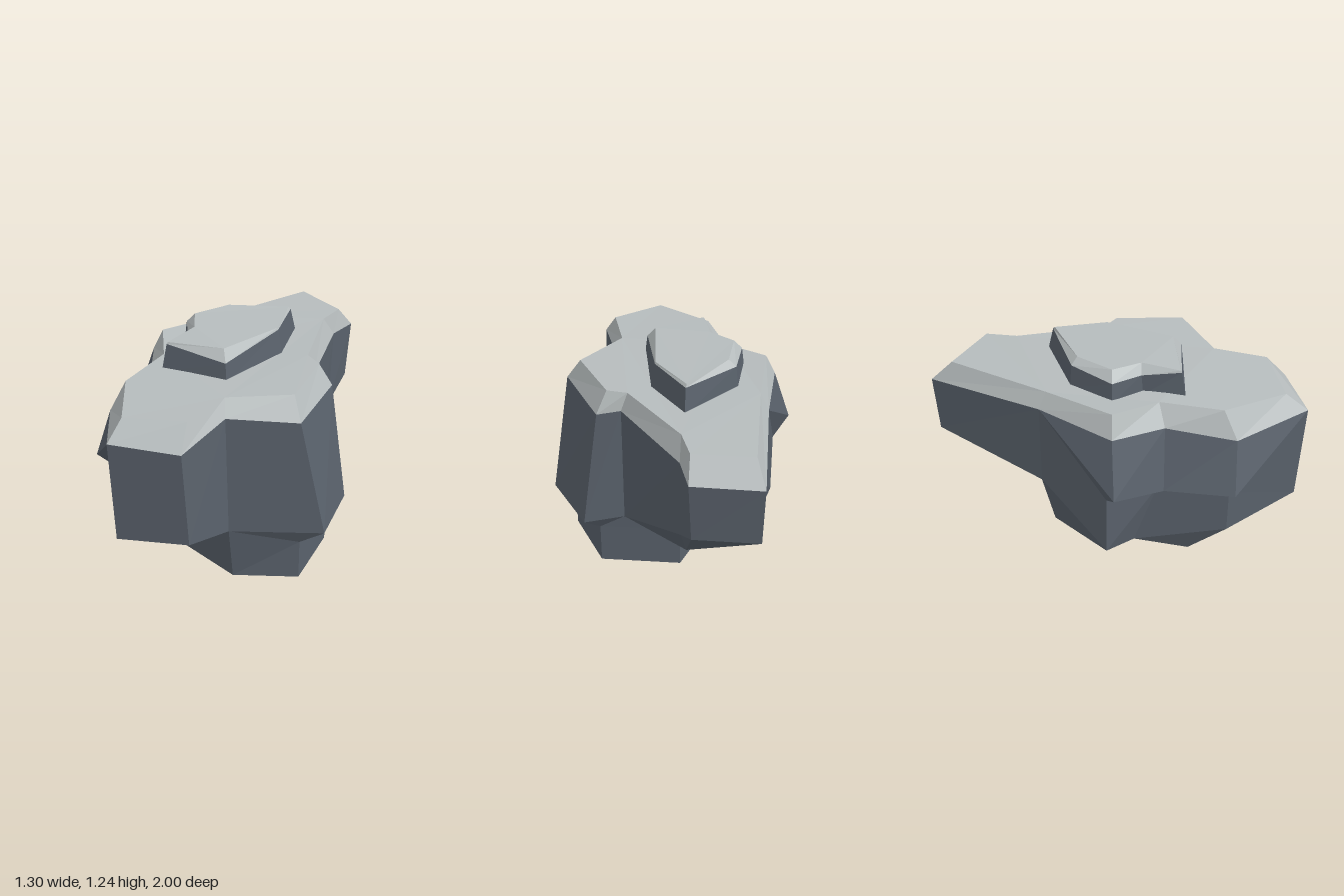
import * as THREE from 'three';

const stone = new THREE.MeshStandardMaterial({ color: 0x5a626c });
stone.name = 'darkStone';
const topStone = new THREE.MeshStandardMaterial({ color: 0xb6bcbd });
topStone.name = 'paleStone';

// Faceted mesh from a list of triangles; zero-area ones are dropped
function facetMesh(name, tris, material) {
  const pos = [];
  const t = new THREE.Triangle();
  for (const tri of tris) {
    const [a, b, c] = tri.map((p) => new THREE.Vector3(...p));
    t.set(a, b, c);
    if (t.getArea() > 1e-6) pos.push(...tri.flat());
  }
  const g = new THREE.BufferGeometry();
  g.setAttribute('position', new THREE.Float32BufferAttribute(pos, 3));
  g.computeVertexNormals();
  const mesh = new THREE.Mesh(g, material);
  mesh.name = name;
  return mesh;
}

// Skin stacked rings, listed from top to bottom, clockwise seen from above
function skin(rings) {
  const tris = [];
  for (let r = 0; r + 1 < rings.length; r++) {
    const U = rings[r], L = rings[r + 1], n = U.length;
    for (let i = 0; i < n; i++) {
      const j = (i + 1) % n;
      tris.push([U[i], U[j], L[j]], [U[i], L[j], L[i]]);
    }
  }
  return tris;
}

// Close a ring with a flat-ish cap facing up or down
function cap(ring, up) {
  const pts = ring.filter((p, i) => p !== ring[(i + 1) % ring.length]);
  const flat = pts.map((p) => new THREE.Vector2(p[0], p[2]));
  return THREE.ShapeUtils.triangulateShape(flat, []).map(([a, b, c]) => {
    const [A, B, C] = [pts[a], pts[b], pts[c]];
    const ny = (B[2] - A[2]) * (C[0] - A[0]) - (B[0] - A[0]) * (C[2] - A[2]);
    return (ny > 0) === up ? [A, B, C] : [A, C, B];
  });
}

export function createModel() {
  const group = new THREE.Group();
  group.name = 'rock';

  // Plateau edge
  const a = [[0.02, 1.08, -0.88], [0.3, 1.08, -0.72], [0.27, 1.085, -0.55], [0.36, 1.09, -0.07],
    [0.45, 1.09, 0], [0.46, 1.09, 0.37], [0.15, 1.085, 0.53], [0.08, 1.075, 0.81],
    [-0.24, 1.06, 0.88], [-0.4, 1.07, 0.55], [-0.35, 1.085, 0.22], [-0.48, 1.1, -0.02], [-0.27, 1.09, -0.36]];
  // Shoulder
  const b = [[0.03, 0.96, -1], [0.35, 0.96, -0.81], [0.31, 0.97, -0.62], [0.4, 0.99, -0.07],
    [0.52, 0.97, -0.02], [0.52, 0.97, 0.43], [0.18, 1, 0.59], [0.1, 0.95, 0.92],
    [-0.26, 0.97, 1], [-0.46, 0.92, 0.62], [-0.42, 0.97, 0.25], [-0.54, 0.98, -0.02], [-0.3, 1, -0.4]];
  // Lower edge of the main walls
  const c = [[0.03, 0.635, -0.98], [0.33, 0.63, -0.8], [0.3, 0.52, -0.61], [0.4, 0.31, -0.07],
    [0.62, 0.3, -0.02], [0.65, 0.31, 0.38], [0.19, 0.32, 0.58], [0.12, 0.42, 0.9],
    [-0.25, 0.405, 0.98], [-0.56, 0.63, 0.62], [-0.5, 0.62, 0.25], [-0.65, 0.67, -0.01], [-0.3, 0.53, -0.4]];
  // Recessed left wall under the overhang
  const d9 = [-0.44, 0.56, 0.6], d10 = [-0.41, 0.57, 0.22], d11 = [-0.53, 0.58, -0.05];
  const e9 = [-0.44, 0.3, 0.6], e10 = [-0.4, 0.19, 0.1], e11 = [-0.53, 0.22, -0.05];
  // Underside and foot corners
  const back = [0.22, 0.32, -0.5], backLeft = [-0.26, 0.22, -0.34];
  const heelTop = [0.13, 0.24, -0.22], heel = [0.13, 0, -0.22];
  const sideTop = [[0.52, 0.23, 0], [0.52, 0.23, 0.4]], side = [[0.52, 0, 0], [0.52, 0, 0.4]];
  const toe = [0.19, 0, 0.53], toeLeft = [-0.37, 0.1, 0.4];

  // Fifteen columns: the corners 8 and 12 are doubled where their walls fold
  const spread = (r) => [...r.slice(0, 9), r[8], ...r.slice(9, 12), r[12], r[12]];
  const A = spread(a), B = spread(b);
  const C = [...c.slice(0, 9), b[8], c[9], c[10], c[11], b[12], c[12]];
  const D = [...c.slice(0, 9), d9, d9, d10, d11, d11, c[12]];
  const E = [back, back, back, c[3], c[4], c[5], c[6], c[6], e9, e9, e9, e10, e11, e11, c[12]];
  const H = [...E.slice(0, 14), backLeft];
  const F = [heelTop, heelTop, heelTop, heelTop, ...sideTop, c[6], c[6], e9, e9, e9, e10, e10, e10, heelTop];
  const G = [heel, heel, heel, heel, ...side, toe, toe, toeLeft, toeLeft, toeLeft, e10, e10, e10, heel];

  group.add(facetMesh('plateau', [...cap(a, true), ...skin([A, B])], topStone));
  group.add(facetMesh('rockBody', [...skin([B, C, D, E, H, F, G]), ...cap(G, false)], stone));

  // Raised slab on the plateau
  const foot = [[0.17, 1.07, -0.37], [0.22, 1.07, -0.05], [0.08, 1.06, 0.36], [-0.29, 1.06, 0.36],
    [-0.25, 1.06, 0.14], [-0.345, 1.07, -0.02], [-0.2, 1.07, -0.24]];
  const rim = [[0.15, 1.21, -0.34], [0.195, 1.215, -0.05], [0.07, 1.17, 0.345], [-0.27, 1.21, 0.335],
    [-0.25, 1.18, 0.13], [-0.33, 1.18, -0.02], [-0.19, 1.2, -0.23]];
  const top = [[0.14, 1.225, -0.33], [0.19, 1.225, -0.05], [0.04, 1.23, 0.3], [-0.265, 1.22, 0.33],
    [-0.21, 1.232, 0.13], [-0.28, 1.235, -0.02], [-0.16, 1.235, -0.2]];
  group.add(facetMesh('slabSides', skin([rim, foot]), stone));
  group.add(facetMesh('slabTop', [...cap(top, true), ...skin([top, rim])], topStone));
  return group;
}
